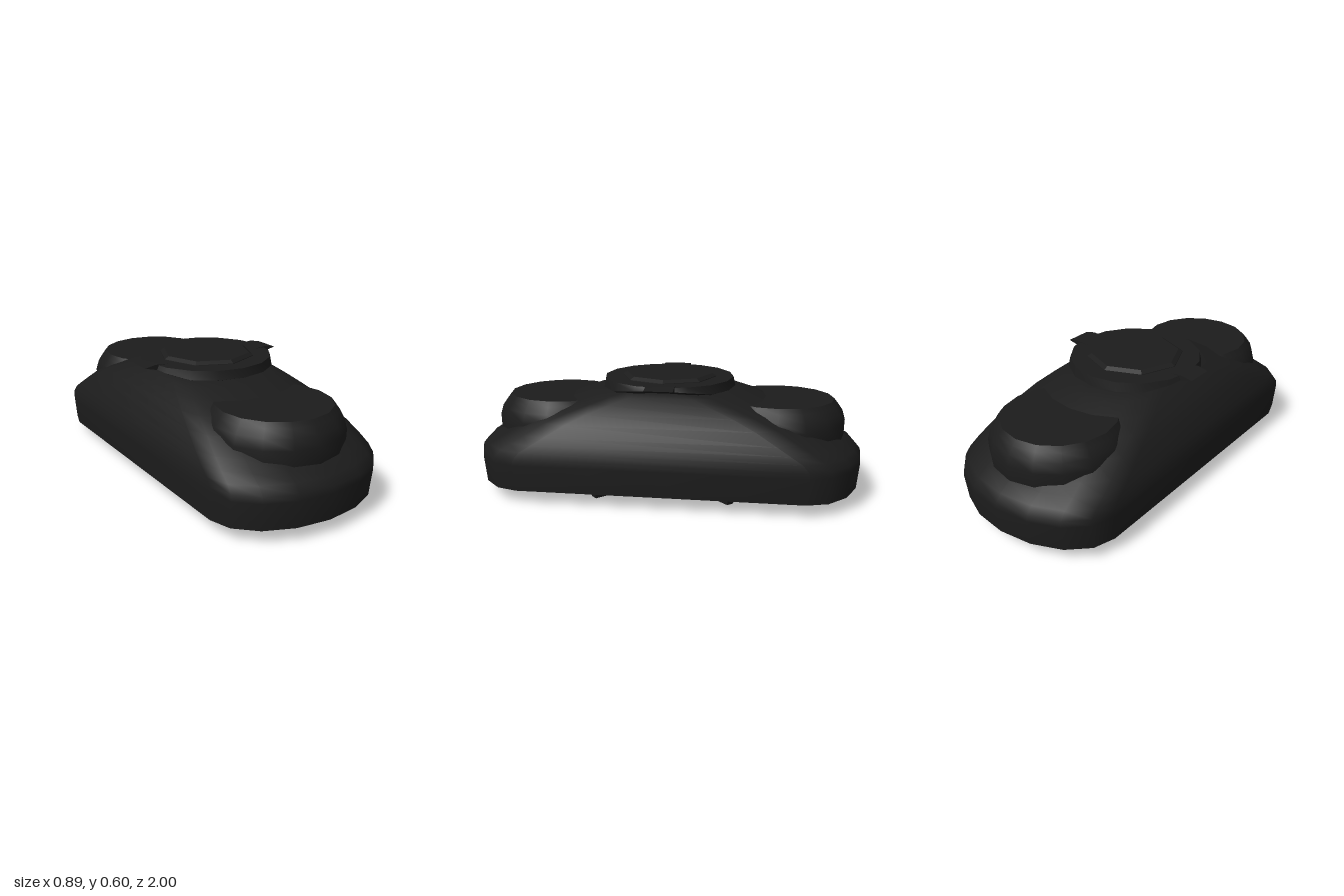
import * as THREE from 'three';
import { toCreasedNormals } from 'three/addons/utils/BufferGeometryUtils.js';

const material = new THREE.MeshStandardMaterial({ color: 0x1c1c1c, side: THREE.DoubleSide });

function addMesh(parent, name, geometry, crease = 0.5) {
  const mesh = new THREE.Mesh(toCreasedNormals(geometry, crease), material);
  mesh.name = name;
  parent.add(mesh);
  return mesh;
}

// Long outline with elliptical ends: half width w, half length l
function outline(w, l, depth) {
  const points = [], n = 8;
  for (const end of [1, -1]) {
    for (let i = 0; i <= n; i++) {
      const a = (i / n) * Math.PI;
      points.push([end * w * Math.cos(a), end * (l - depth + depth * Math.sin(a))]);
    }
  }
  return points;
}

// Skin over [y, half width, half length, end depth] levels, capped on top
function loft(levels) {
  const pos = [], index = [];
  let n = 0;
  for (const [y, w, l, d] of levels) {
    const ring = outline(w, l, d);
    n = ring.length;
    for (const [x, z] of ring) pos.push(x, y, z);
  }
  for (let r = 0; r < levels.length - 1; r++) {
    for (let i = 0; i < n; i++) {
      const j = (i + 1) % n, a = r * n, b = a + n;
      index.push(a + i, b + i, b + j, a + i, b + j, a + j);
    }
  }
  const top = (levels.length - 1) * n, centre = levels.length * n;
  pos.push(0, levels[levels.length - 1][0], 0);
  for (let i = 0; i < n; i++) index.push(top + i, centre, top + (i + 1) % n);
  const g = new THREE.BufferGeometry();
  g.setAttribute('position', new THREE.Float32BufferAttribute(pos, 3));
  g.setIndex(index);
  g.computeVertexNormals();
  return g;
}

// Lathe from [radius, y] pairs
function turned(profile, sides) {
  return new THREE.LatheGeometry(profile.map(([r, y]) => new THREE.Vector2(r, y)), sides);
}

export function createModel() {
  const model = new THREE.Group();
  model.name = 'model';

  // Rounded hull, arched along its length
  addMesh(model, 'body', loft([
    [0.042, 0.34, 0.94, 0.28],
    [0.068, 0.44, 0.988, 0.28],
    [0.2, 0.447, 1.0, 0.28],
    [0.23, 0.445, 0.995, 0.28],
    [0.265, 0.441, 0.965, 0.28],
    [0.3, 0.435, 0.91, 0.28],
    [0.34, 0.422, 0.845, 0.28],
    [0.4, 0.398, 0.745, 0.28],
    [0.45, 0.368, 0.62, 0.26],
    [0.49, 0.332, 0.505, 0.25],
    [0.525, 0.295, 0.4, 0.24],
    [0.545, 0.268, 0.325, 0.24],
  ]), 0.7);

  // Underside plate with a round opening at each end
  const plate = new THREE.Shape(outline(0.34, 0.94, 0.28).map(([x, z]) => new THREE.Vector2(x, z)));
  for (const end of [1, -1]) {
    const hole = new THREE.Path();
    hole.absarc(0, end * 0.58, 0.325, 0, Math.PI * 2, true);
    plate.holes.push(hole);
  }
  const underside = addMesh(model, 'underside', new THREE.ShapeGeometry(plate, 16).rotateX(Math.PI / 2));
  underside.position.y = 0.042;

  for (const end of [1, -1]) {
    // Shallow recess below and drum above each end
    const recess = addMesh(model, 'recess', turned([[0.325, 0.042], [0.3, 0.062], [0.15, 0.08], [0, 0.085]], 16));
    recess.position.z = end * 0.58;
    const drum = addMesh(model, 'drum', turned(
      [[0.33, 0.24], [0.338, 0.3], [0.34, 0.38], [0.325, 0.43], [0.3, 0.465], [0.28, 0.49], [0, 0.49]], 16), 0.6);
    drum.position.z = end * 0.57;

    // Tapered feet, each pointing out from the centre
    for (const side of [1, -1]) {
      const foot = addMesh(model, 'foot',
        new THREE.CylinderGeometry(0.088, 0.064, 0.06, 4).rotateY(Math.PI / 4).scale(1, 1, 0.42));
      foot.position.set(side * 0.27, 0.03, end * 0.315);
      foot.rotation.y = -side * end * Math.PI / 4;
    }
  }

  // Central dial: the lower edge of its ring sweeps up at the sides
  const dial = new THREE.Group();
  dial.name = 'dial';
  model.add(dial);
  const ring = turned([[0.3, 0.525], [0.345, 0.543], [0.335, 0.588], [0.255, 0.588], [0, 0.58]], 16);
  const p = ring.attributes.position;
  for (let i = 0; i < p.count; i++) {
    p.setY(i, Math.max(p.getY(i), 0.543 + (Math.abs(p.getX(i)) - 0.27) * 0.4));
  }
  addMesh(dial, 'dialRing', ring);
  addMesh(dial, 'dialCap', turned([[0.25, 0.57], [0.247, 0.59], [0.225, 0.604], [0, 0.604]], 8), 0.4);

  // Thin wedge grips on the dial's sides
  const wedge = new THREE.Shape([
    [0.22, 0.585], [0.26, 0.545], [0.3, 0.558], [0.395, 0.582], [0.34, 0.593],
  ].map(([x, y]) => new THREE.Vector2(x, y)));
  for (const side of [0, 1]) {
    const grip = addMesh(dial, 'grip',
      new THREE.ExtrudeGeometry(wedge, { depth: 0.14, bevelEnabled: false }).translate(0, 0, -0.07));
    grip.rotation.y = side * Math.PI;
  }
  return model;
}
